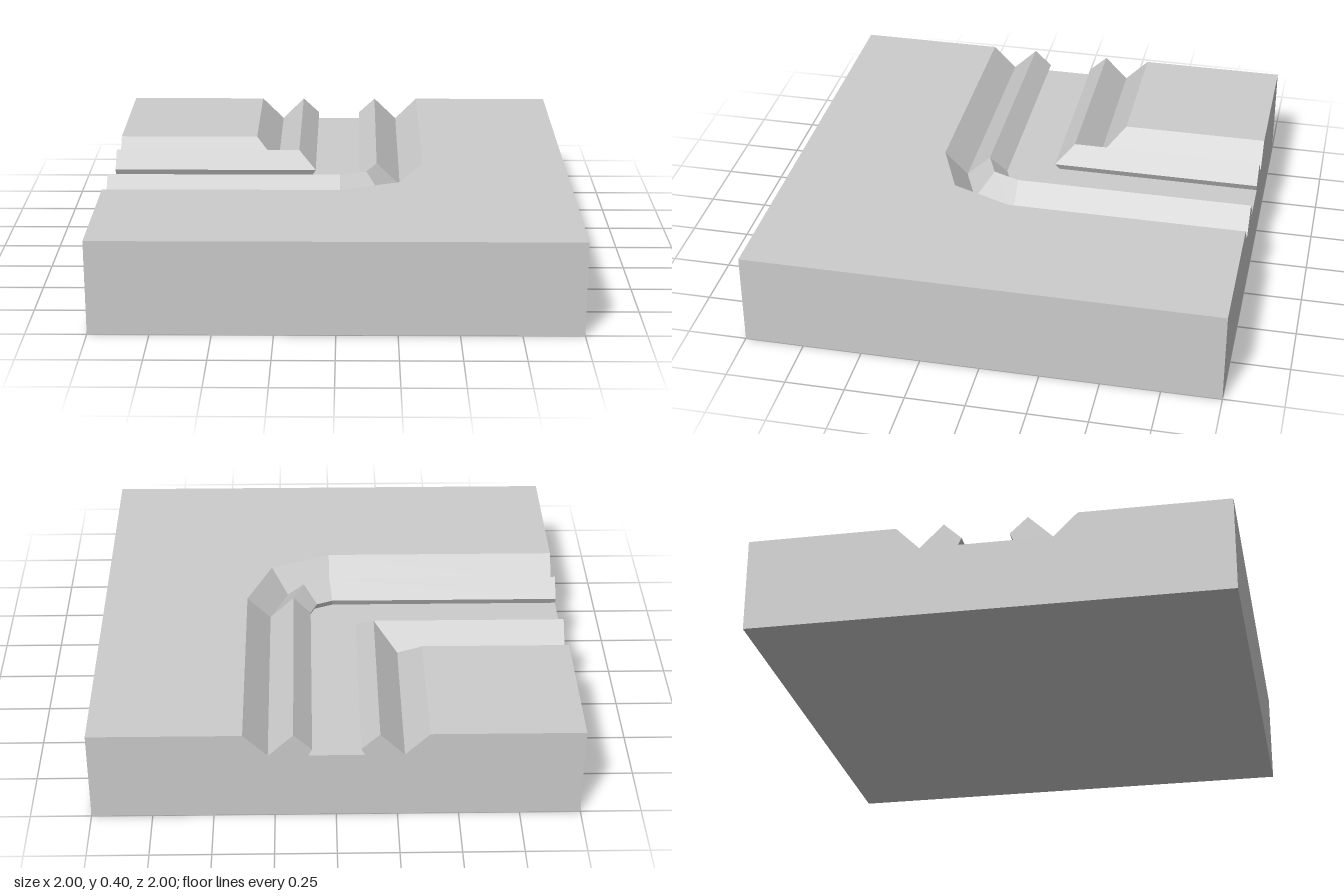
import * as THREE from 'three';

// Cross-section [offset from the path centre, height], outer rim to inner rim
const PROFILE = [
  [1, 0], [1, 0.4],
  [0.375, 0.4], [0.275, 0.3], [0.172, 0.4], [0.097, 0.33], [0.112, 0.3],      // outer ditch and kerb
  [-0.115, 0.3], [-0.1, 0.33], [-0.175, 0.4], [-0.275, 0.3], [-0.375, 0.4],   // inner kerb and ditch
  [-1, 0.4], [-1, 0],
];

// Follows one profile point round the bend: chamfered outside, mitred inside
function track([r, y]) {
  const bend = r < 0 ? r : r < 0.12 ? 0 : 0.012;
  const mid = r < 0 || r === 1 ? r : r * 0.707 + bend * 0.35;
  return [[r, -1], [r, bend], [mid, mid], [bend, r], [-1, r]]
    .map(([x, z]) => new THREE.Vector3(x, y, z));
}

export function createModel() {
  const tracks = PROFILE.map(track);
  const positions = [];
  const triangle = new THREE.Triangle();
  const addTriangle = (a, b, c) => {
    if (triangle.set(a, b, c).getArea() < 1e-7) return;
    for (const p of [a, b, c]) positions.push(p.x, p.y, p.z);
  };

  // Swept skin: walls, ground, ditches, kerbs, path floor and underside
  tracks.forEach((near, j) => {
    const next = tracks[(j + 1) % tracks.length];
    for (let i = 0; i < 4; i++) {
      addTriangle(near[i], next[i], next[i + 1]);
      addTriangle(near[i], next[i + 1], near[i + 1]);
    }
  });

  // The two end faces, where the path leaves the block
  const outline = PROFILE.map(([r, y]) => new THREE.Vector2(r, y));
  for (const [a, b, c] of THREE.ShapeUtils.triangulateShape(outline, [])) {
    addTriangle(tracks[a][0], tracks[c][0], tracks[b][0]);
    addTriangle(tracks[a][4], tracks[b][4], tracks[c][4]);
  }

  const geometry = new THREE.BufferGeometry();
  geometry.setAttribute('position', new THREE.Float32BufferAttribute(positions, 3));
  geometry.computeVertexNormals();

  const tile = new THREE.Mesh(
    geometry,
    new THREE.MeshStandardMaterial({ color: 0xcccccc, flatShading: true }),
  );
  tile.name = 'cornerPathTile';
  const group = new THREE.Group();
  group.name = 'pathCorner';
  group.add(tile);
  return group;
}
